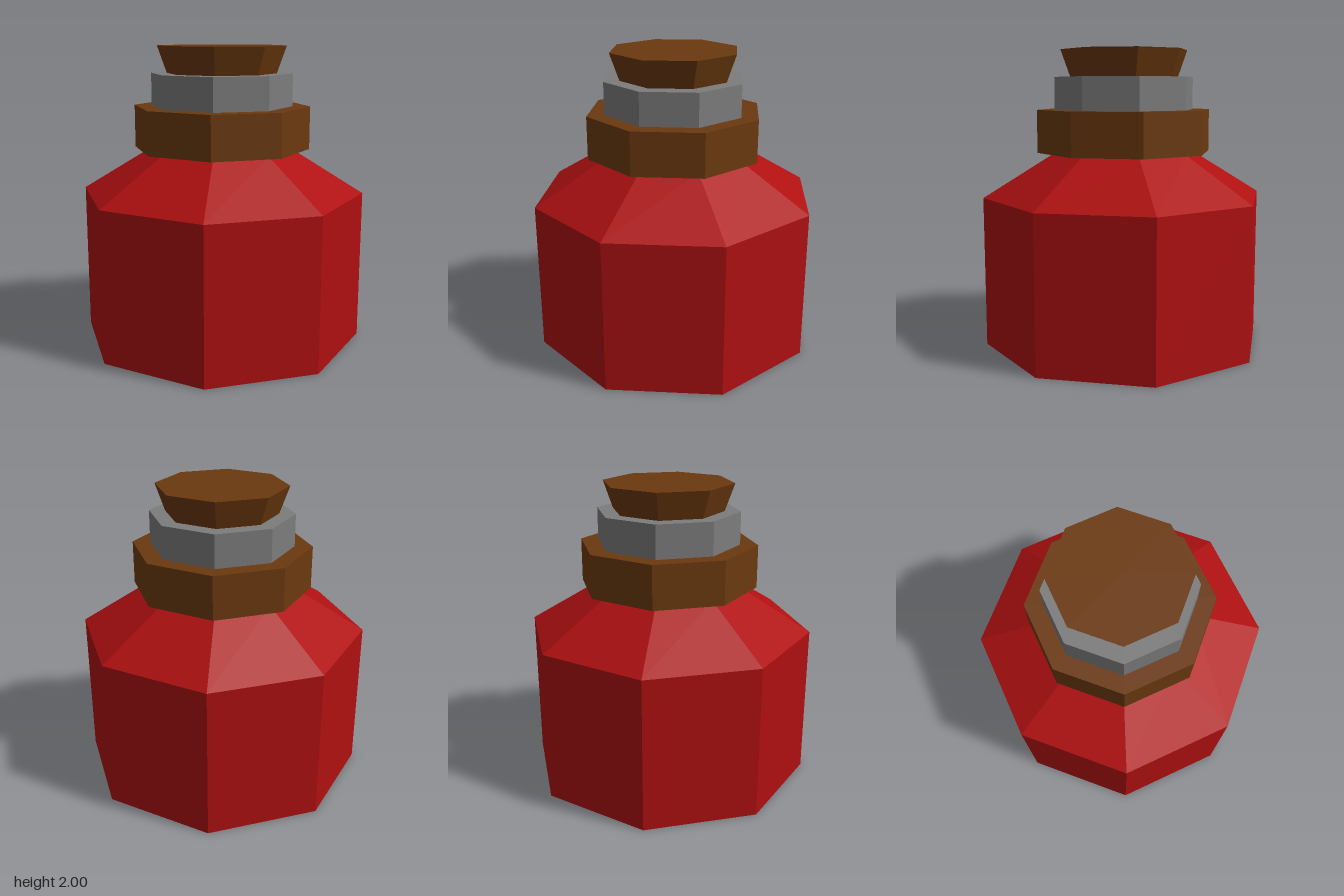
import * as THREE from 'three';

export function createModel() {
  const group = new THREE.Group();
  group.name = 'bottle';
  const material = (name, color) => {
    const m = new THREE.MeshStandardMaterial({ color, flatShading: true });
    m.name = name;
    return m;
  };
  const red = material('red', 0xaf1011);
  const brown = material('brown', 0x6b390f);
  const grey = material('grey', 0x7c7c7c);

  // Eight-sided section from y0 to y1, with corners on the x and z axes
  const section = (name, mat, rBottom, rTop, y0, y1, open = false) => {
    const mesh = new THREE.Mesh(
      new THREE.CylinderGeometry(rTop, rBottom, y1 - y0, 8, 1, open), mat);
    mesh.name = name;
    mesh.position.y = (y0 + y1) / 2;
    group.add(mesh);
  };

  section('body', red, 0.965, 0.965, 0, 1.015);
  section('shoulder', red, 0.965, 0.48, 1.015, 1.312, true);
  section('collar', brown, 0.598, 0.598, 1.312, 1.6);
  section('neckRing', grey, 0.479, 0.479, 1.6, 1.818);
  section('stopper', brown, 0.372, 0.436, 1.818, 2);

  return group;
}
